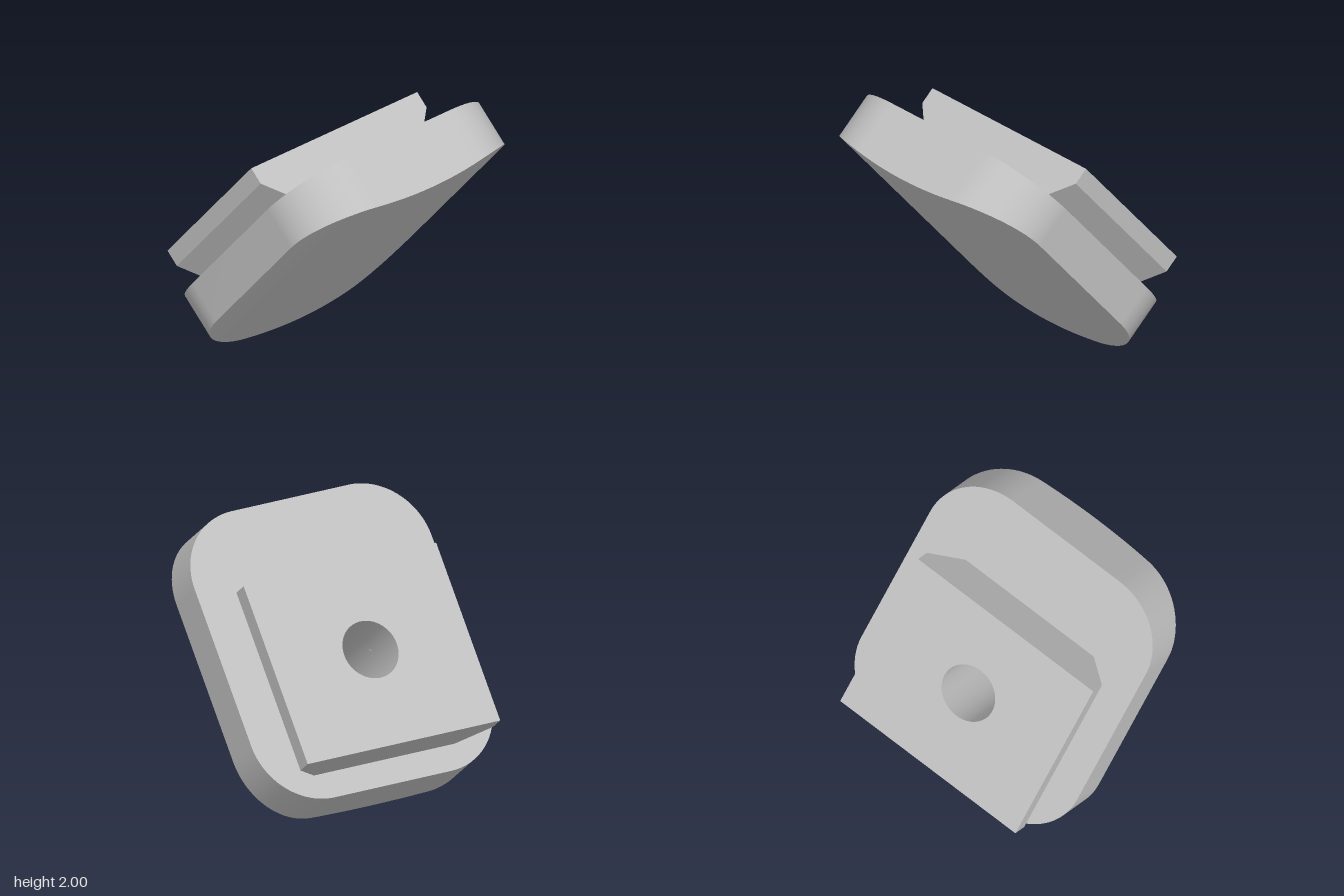
import * as THREE from 'three';
import { toCreasedNormals } from 'three/addons/utils/BufferGeometryUtils.js';

const W = 0.985, H = 1.11, R = 0.5;      // plate half width, half length, corner radius
const THICK = 0.455, SAG = 0.13;         // plate thickness at the middle, loss at the sides
const HOLE_R = 0.218, HOLE_Y = -0.2, POCKET = 0.43;

const frontZ = (x) => -THICK + SAG * (x / W) ** 2;

function meshFrom(positions, index, material) {
  const geo = new THREE.BufferGeometry();
  geo.setAttribute('position', new THREE.Float32BufferAttribute(positions, 3));
  geo.setIndex(index);
  geo.computeVertexNormals();
  return new THREE.Mesh(geo, material);
}

function holePath() {
  return new THREE.Path().absarc(0, HOLE_Y, HOLE_R, 0, Math.PI * 2, true);
}

// Columns across the rounded plate: [x, half length at x]
function plateColumns() {
  const cols = [], n = 20, m = 12;
  for (let i = 0; i <= n; i++) {
    const a = (i / n) * Math.PI / 2;
    cols.push([-(W - R) - R * Math.cos(a), H - R + R * Math.sin(a)]);
  }
  for (let i = 1; i < m; i++) cols.push([(W - R) * (2 * i / m - 1), H]);
  for (let i = n; i >= 0; i--) cols.push([-cols[i][0], cols[i][1]]);
  return cols;
}

function buildPlate(material) {
  const plate = new THREE.Group();
  plate.name = 'plate';
  const cols = plateColumns();
  const outline = [
    ...cols.map(([x, h]) => new THREE.Vector2(x, -h)),
    ...cols.slice().reverse().map(([x, h]) => new THREE.Vector2(x, h)),
  ];

  // Gently bowed front face
  let pos = [], index = [];
  cols.forEach(([x, h], i) => {
    pos.push(x, -h, frontZ(x), x, h, frontZ(x));
    if (i) {
      const a = 2 * i - 2;
      index.push(a, a + 1, a + 3, a, a + 3, a + 2);
    }
  });
  const front = meshFrom(pos, index, material);
  front.name = 'bowedFace';

  // Rim
  pos = []; index = [];
  const n = outline.length;
  outline.forEach((p, i) => {
    pos.push(p.x, p.y, frontZ(p.x), p.x, p.y, 0);
    const a = 2 * i, b = 2 * ((i + 1) % n);
    index.push(a, b, b + 1, a, b + 1, a + 1);
  });
  const rim = meshFrom(pos, index, material);
  rim.name = 'rim';

  // Flat back face with the hole
  const shape = new THREE.Shape(outline);
  shape.holes.push(holePath());
  const back = new THREE.Mesh(new THREE.ShapeGeometry(shape, 32), material);
  back.name = 'flatFace';

  // Blind end of the hole
  const wall = new THREE.Mesh(
    new THREE.CylinderGeometry(HOLE_R, HOLE_R, POCKET, 64, 1, true).rotateX(Math.PI / 2), material);
  wall.name = 'holeWall';
  wall.position.set(0, HOLE_Y, -POCKET / 2);
  const floor = new THREE.Mesh(new THREE.CircleGeometry(HOLE_R, 64), material);
  floor.name = 'holeFloor';
  floor.position.set(0, HOLE_Y, -POCKET);

  plate.add(front, rim, back, wall, floor);
  return plate;
}

// Mounting block: flared sides below a straight edge, bored through
function buildBlock(material) {
  const w = 0.8, baseW = 0.585, y0 = -0.92, y1 = 0.46, depth = 0.355, flare = 0.225;
  const shape = new THREE.Shape([[-w, y0], [w, y0], [w, y1], [-w, y1]].map((p) => new THREE.Vector2(...p)));
  shape.holes.push(holePath());
  const geo = new THREE.ExtrudeGeometry(shape, { depth, steps: 2, bevelEnabled: false, curveSegments: 32 });
  const p = geo.attributes.position;
  for (let i = 0; i < p.count; i++) {
    const z = p.getZ(i);
    if (z < 0.01) {
      if (Math.abs(p.getX(i)) > 0.5) p.setX(i, Math.sign(p.getX(i)) * baseW);
    } else if (z < depth - 0.01) p.setZ(i, flare);
  }
  const block = new THREE.Mesh(toCreasedNormals(geo, 0.4), material);
  block.name = 'mountingBlock';
  return block;
}

export function createModel() {
  const grey = new THREE.MeshStandardMaterial({ color: 0xc0c0c0 });
  grey.name = 'lightGrey';
  grey.side = THREE.DoubleSide;

  // Local z is the plate's back normal; the whole part leans forward
  const tilted = new THREE.Group();
  tilted.name = 'tiltedPad';
  tilted.add(buildPlate(grey), buildBlock(grey));
  tilted.rotation.set(0.696, Math.PI, 0);
  tilted.position.set(0, 1.145, -0.1);

  const model = new THREE.Group();
  model.name = 'model';
  model.add(tilted);
  return model;
}
